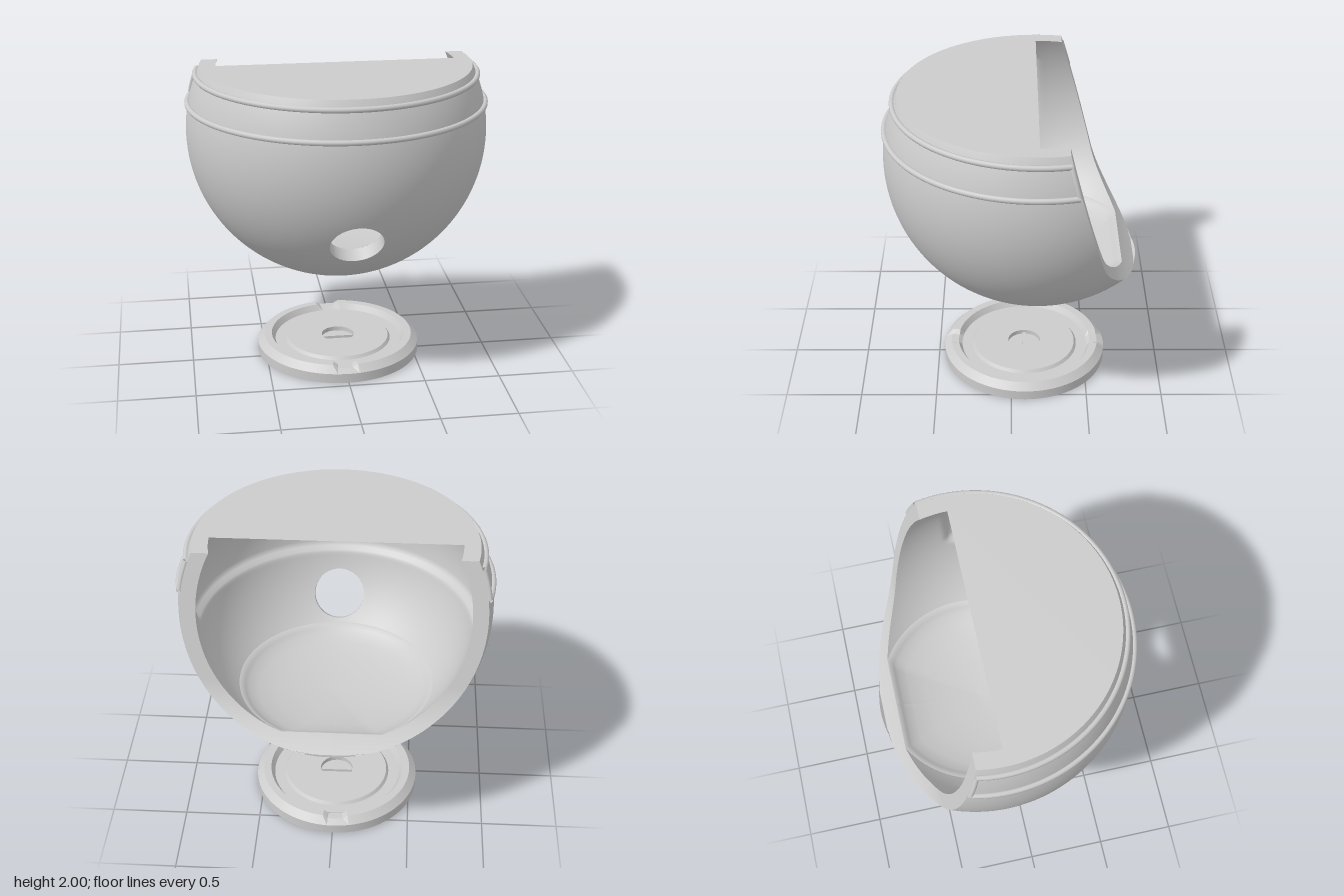
import * as THREE from 'three';
import { toCreasedNormals } from 'three/addons/utils/BufferGeometryUtils.js';

const CY = 1.565, CZ = -0.165;          // sphere centre
const RO = 0.98, RI = 0.888;            // outer and inner radius
const FLOOR = 0.94, LIP = 0.84, TOP = 2;
const HOLE_R = 0.17;
const holeAxis = new THREE.Vector3(0.02, 1.05 - CY, 0.83).normalize();

const material = new THREE.MeshStandardMaterial({ color: 0xcccccc, side: THREE.DoubleSide });

function addMesh(parent, geometry, name) {
  const mesh = new THREE.Mesh(geometry, material);
  mesh.name = name;
  parent.add(mesh);
  return mesh;
}

// z (relative to the sphere axis) of the rear cut at height y
function cutZ(y) {
  const t = Math.max(0, 1.22 - y);
  return -0.34 - (2 - y) * 0.276 - t * t - CZ;
}
const ringRadius = (y, r) => Math.sqrt(Math.max(0, r * r - (y - CY) ** 2));

// half angle, from the front, that the cut leaves of the ring at height y
function halfAngle(y, r) {
  if (y <= LIP) return Math.PI;
  const R = ringRadius(y, r);
  return Math.acos(Math.max(-1, Math.min(1, cutZ(y) / R)));
}

function range(a, b, n) {
  return Array.from({ length: n + 1 }, (_, i) => a + (b - a) * i / n);
}

// grid of points to geometry, skipping cells for which skip() is true
function gridGeometry(rows, flip, skip = () => false) {
  const n = rows[0].length, index = [];
  const geometry = new THREE.BufferGeometry().setFromPoints(rows.flat());
  for (let i = 0; i < rows.length - 1; i++) {
    for (let j = 0; j < n - 1; j++) {
      if (skip(rows[i][j], rows[i][j + 1], rows[i + 1][j], rows[i + 1][j + 1])) continue;
      const a = i * n + j, b = a + 1, c = a + n, d = c + 1;
      if (flip) index.push(a, d, b, a, c, d);
      else index.push(a, b, d, a, d, c);
    }
  }
  geometry.setIndex(index);
  geometry.computeVertexNormals();
  return geometry;
}

const holeDistance = p => {
  const along = p.dot(holeAxis);
  return along < 0 ? 9 : Math.sqrt(Math.max(0, p.lengthSq() - along * along));
};

// cut sphere skin with the round front hole; points relative to sphere centre
function skin(ys, r, segments, flip, bulge) {
  const rows = ys.map(y => {
    const R = ringRadius(y, r), half = halfAngle(y, r);
    return range(-half, half, segments).map(phi => {
      const p = new THREE.Vector3(R * Math.sin(phi), y - CY, R * Math.cos(phi));
      const d = holeDistance(p);
      if (d > HOLE_R - 0.05 && d < HOLE_R + 0.008) {
        const side = p.clone().addScaledVector(holeAxis, -p.dot(holeAxis)).setLength(HOLE_R);
        p.copy(holeAxis).multiplyScalar(Math.sqrt(r * r - HOLE_R * HOLE_R)).add(side);
      }
      if (bulge) {
        const k = 1 + bulge(y, Math.abs(phi));
        p.x *= k;
        p.z *= k;
      }
      return p;
    });
  });
  const centre = new THREE.Vector3();
  return gridGeometry(rows, flip, (a, b, c, d) =>
    holeDistance(centre.copy(a).add(b).add(c).add(d).multiplyScalar(0.25)) < HOLE_R - 0.0005);
}

function createShell() {
  const shell = new THREE.Group();
  shell.name = 'shell';
  shell.position.set(0, CY, CZ);

  // outer skin, rows evenly spaced by angle near the bottom
  const a1 = Math.acos((CY - LIP) / RO);
  const lowYs = range(0, a1, 18).map(a => CY - RO * Math.cos(a));
  const midYs = range(LIP, FLOOR, 8), highYs = range(FLOOR, TOP, 58);
  const outer = skin([...lowYs, ...midYs.slice(1), ...highYs.slice(1)], RO, 192, false);
  const pos = outer.attributes.position, n = new THREE.Vector3();
  for (let i = 0; i < pos.count; i++) {
    n.fromBufferAttribute(pos, i).normalize();
    outer.attributes.normal.setXYZ(i, n.x, n.y, n.z);
  }
  addMesh(shell, outer, 'outerBowl');

  // inner skin with a shallow rounded pocket around the front half
  const step = THREE.MathUtils.smoothstep;
  const pocket = (y, phi) => 0.045 * step(y, 1.37, 1.41) * (1 - step(y, 1.84, 1.88)) * (1 - step(phi, 1.53, 1.6));
  addMesh(shell, skin(highYs, RI, 150, true, pocket), 'innerWall');

  // rim along the rear cut, mirrored
  const rimYs = [...midYs, ...highYs];
  const edge = (y, r) => Math.sqrt(Math.max(0, ringRadius(y, r) ** 2 - cutZ(y) ** 2));
  for (const s of [-1, 1]) {
    const rows = rimYs.map((y, i) => {
      const inner = i < midYs.length ? 0 : edge(y, RI);
      return [inner, edge(y, RO)].map(x => new THREE.Vector3(s * x, y - CY, cutZ(y)));
    });
    addMesh(shell, gridGeometry(rows, s > 0), 'rearRim');
  }

  // floor dish: round, but straight along the cut
  const floorR = ringRadius(FLOOR, RI), back = cutZ(FLOOR);
  const dish = [[1, 0], [0.97, 0.006], [0.94, 0.022], [0.9, 0.045], [0.8, 0.075], [0.6, 0.11], [0.3, 0.133], [0, 0.14]];
  const dishRows = dish.map(([s, drop]) => range(-Math.PI, Math.PI, 96).map(phi => {
    const c = Math.cos(phi);
    const R = s * (c < 0 ? Math.min(floorR, back / c) : floorR);
    return new THREE.Vector3(R * Math.sin(phi), FLOOR - CY - drop, R * c);
  }));
  addMesh(shell, gridGeometry(dishRows, true), 'floorDish');

  // wall of the front hole
  const near = Math.sqrt(RI * RI - HOLE_R ** 2), far = Math.sqrt(RO * RO - HOLE_R ** 2);
  const tube = addMesh(shell, new THREE.CylinderGeometry(HOLE_R, HOLE_R, far - near, 48, 1, true), 'holeWall');
  tube.position.copy(holeAxis).multiplyScalar((near + far) / 2);
  tube.quaternion.setFromUnitVectors(new THREE.Vector3(0, 1, 0), holeAxis);

  // flat top: front half disc plus the wall ends
  const ro = ringRadius(TOP, RO), ri = ringRadius(TOP, RI);
  const po = halfAngle(TOP, RO), pi = halfAngle(TOP, RI);
  const at = R => phi => new THREE.Vector2(R * Math.sin(phi), -R * Math.cos(phi));
  const outline = [
    ...range(-po, po, 96).map(at(ro)),
    ...range(pi, Math.PI / 2, 6).map(at(ri)),
    ...range(-Math.PI / 2, -pi, 6).map(at(ri)),
  ];
  const top = addMesh(shell, new THREE.ShapeGeometry(new THREE.Shape(outline)), 'topPlate');
  top.rotation.x = -Math.PI / 2;
  top.position.y = TOP - CY;

  // raised trim: two rings joined along the cut
  const path = pts => new THREE.CatmullRomCurve3(pts);
  const onBand = (y, phi) => {
    const R = ringRadius(y, RO) + 0.006;
    return new THREE.Vector3(R * Math.sin(phi), y - CY, R * Math.cos(phi));
  };
  const end = y => halfAngle(y, RO) - 0.015;
  for (const y of [1.945, 1.762]) {
    const ring = path(range(-end(y), end(y), 40).map(phi => onBand(y, phi)));
    addMesh(shell, new THREE.TubeGeometry(ring, 120, 0.018, 10), 'trimRing');
  }
  for (const s of [-1, 1]) {
    const side = path(range(1.762, 1.945, 4).map(y => onBand(y, s * end(y))));
    addMesh(shell, new THREE.TubeGeometry(side, 8, 0.016, 10), 'trimEnd');
  }
  return shell;
}

function createBase() {
  const base = new THREE.Group();
  base.name = 'base';
  base.position.z = -0.09;
  // stepped disc, hollow underneath
  const profile = [
    [0, 0.035], [0.4, 0.035], [0.43, 0.055], [0.5, 0.055], [0.53, 0], [0.55, 0], [0.55, 0.065],
    [0.505, 0.11], [0.455, 0.11], [0.43, 0.07], [0.36, 0.07], [0.345, 0.09], [0.11, 0.09], [0.11, 0.06], [0, 0.06],
  ].map(([r, y]) => new THREE.Vector2(r, y));
  const disc = new THREE.LatheGeometry(profile, 96);
  // two notches in the raised ring, front and rear
  const p = disc.attributes.position;
  for (let i = 0; i < p.count; i++) {
    if (p.getY(i) > 0.1 && Math.abs(p.getX(i) + 0.01) < 0.06) p.setY(i, 0.088);
  }
  addMesh(base, toCreasedNormals(disc, 0.4), 'baseDisc');
  // bar across the centre recess
  addMesh(base, new THREE.BoxGeometry(0.21, 0.02, 0.02), 'centreBar').position.y = 0.068;
  return base;
}

export function createModel() {
  const model = new THREE.Group();
  model.name = 'openBowlWithBase';
  model.add(createShell(), createBase());
  return model;
}
